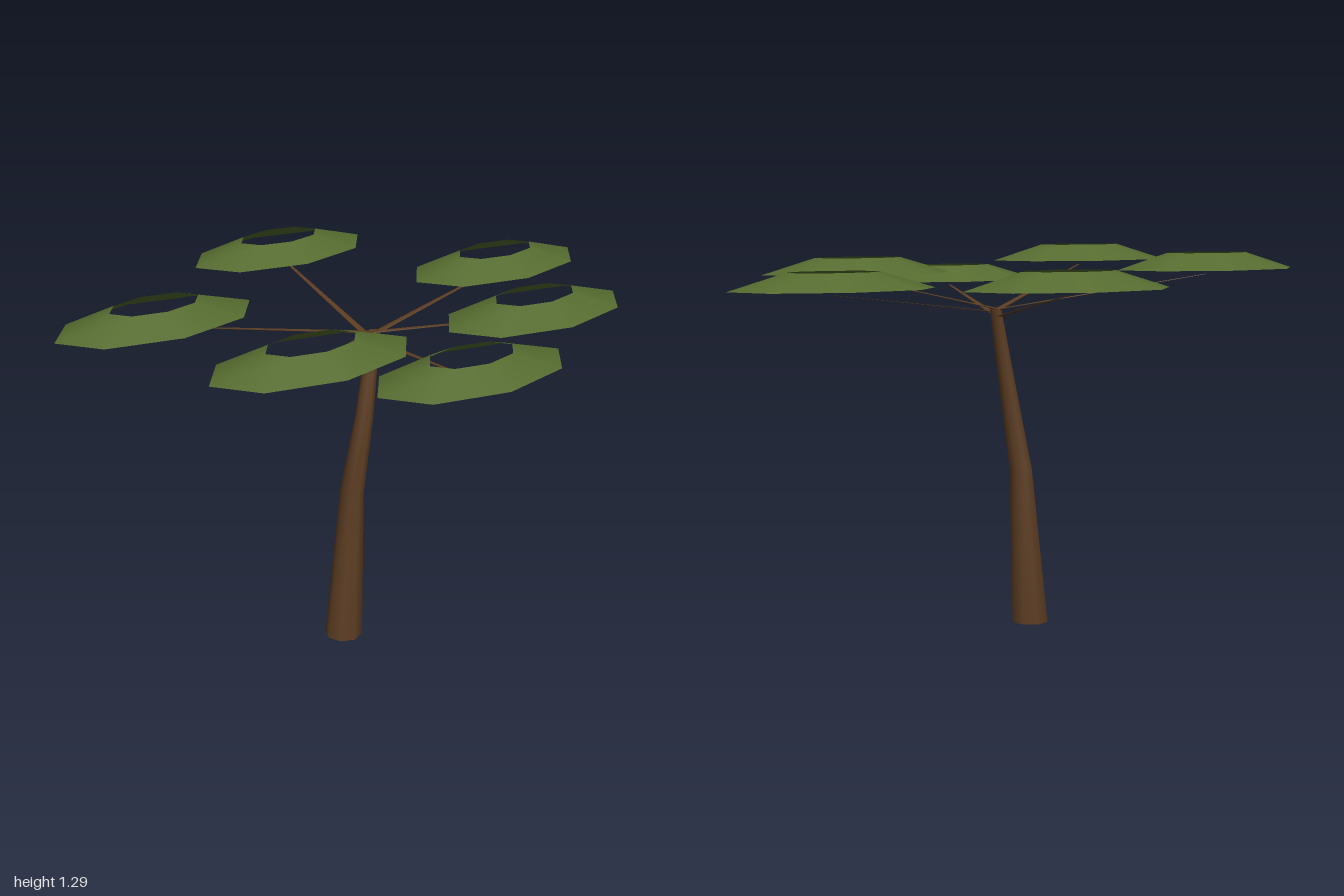
import * as THREE from 'three';
import { mergeVertices } from 'three/addons/utils/BufferGeometryUtils.js';

// Open tube through level rings, listed top to bottom as [x, y, z, radius]
function loft(rings, sides) {
  const geo = new THREE.CylinderGeometry(1, 1, 1, sides, rings.length - 1, true);
  geo.deleteAttribute('uv');
  geo.deleteAttribute('normal');
  const pos = geo.attributes.position;
  for (let i = 0; i < pos.count; i++) {
    const [x, y, z, r] = rings[Math.floor(i / (sides + 1))];
    pos.setXYZ(i, x + pos.getX(i) * r, y, z + pos.getZ(i) * r);
  }
  const smooth = mergeVertices(geo, 1e-5);
  smooth.computeVertexNormals();
  return smooth;
}

export function createModel() {
  const tree = new THREE.Group();
  tree.name = 'umbrellaTree';

  const bark = new THREE.MeshStandardMaterial({ color: 0x5c3d22, side: THREE.DoubleSide });
  bark.name = 'bark brown';
  const leaf = new THREE.MeshStandardMaterial({ color: 0x556b2f, side: THREE.DoubleSide });
  leaf.name = 'leaf green';

  const add = (name, geometry, material) => {
    const mesh = new THREE.Mesh(geometry, material);
    mesh.name = name;
    tree.add(mesh);
    return mesh;
  };

  // Leaning, tapering trunk
  add('trunk', loft([
    [0.047, 1.09, 0.017, 0.021],
    [-0.013, 0.81, 0.048, 0.031],
    [-0.053, 0.54, 0.033, 0.041],
    [-0.09, 0, 0.035, 0.065],
  ], 8), bark);

  // Leaf pads: x, z, underside height, height where the branch starts
  const pads = [
    [0.65, -0.1, 1.175, 1.08],
    [0.4, 0.4, 1.2, 1.09],
    [-0.03, 0.62, 1.16, 1.065],
    [-0.47, 0.43, 1.235, 1.09],
    [-0.66, -0.16, 1.22, 1.09],
    [0.09, -0.625, 1.19, 1.065],
  ];

  // Hollow eight-sided leaf ring, wide in x and narrow in z
  const padHeight = 0.055;
  const padGeo = new THREE.CylinderGeometry(0.155, 0.342, padHeight, 8, 1, true);
  padGeo.scale(1, 1, 0.54);

  pads.forEach(([x, z, y, startY], i) => {
    add(`branch${i + 1}`, loft([
      [x, y - 0.018, z, 0.005],
      [0.035, startY, 0.02, 0.014],
    ], 6), bark);
    add(`leafPad${i + 1}`, padGeo, leaf).position.set(x, y + padHeight / 2, z);
  });

  return tree;
}
